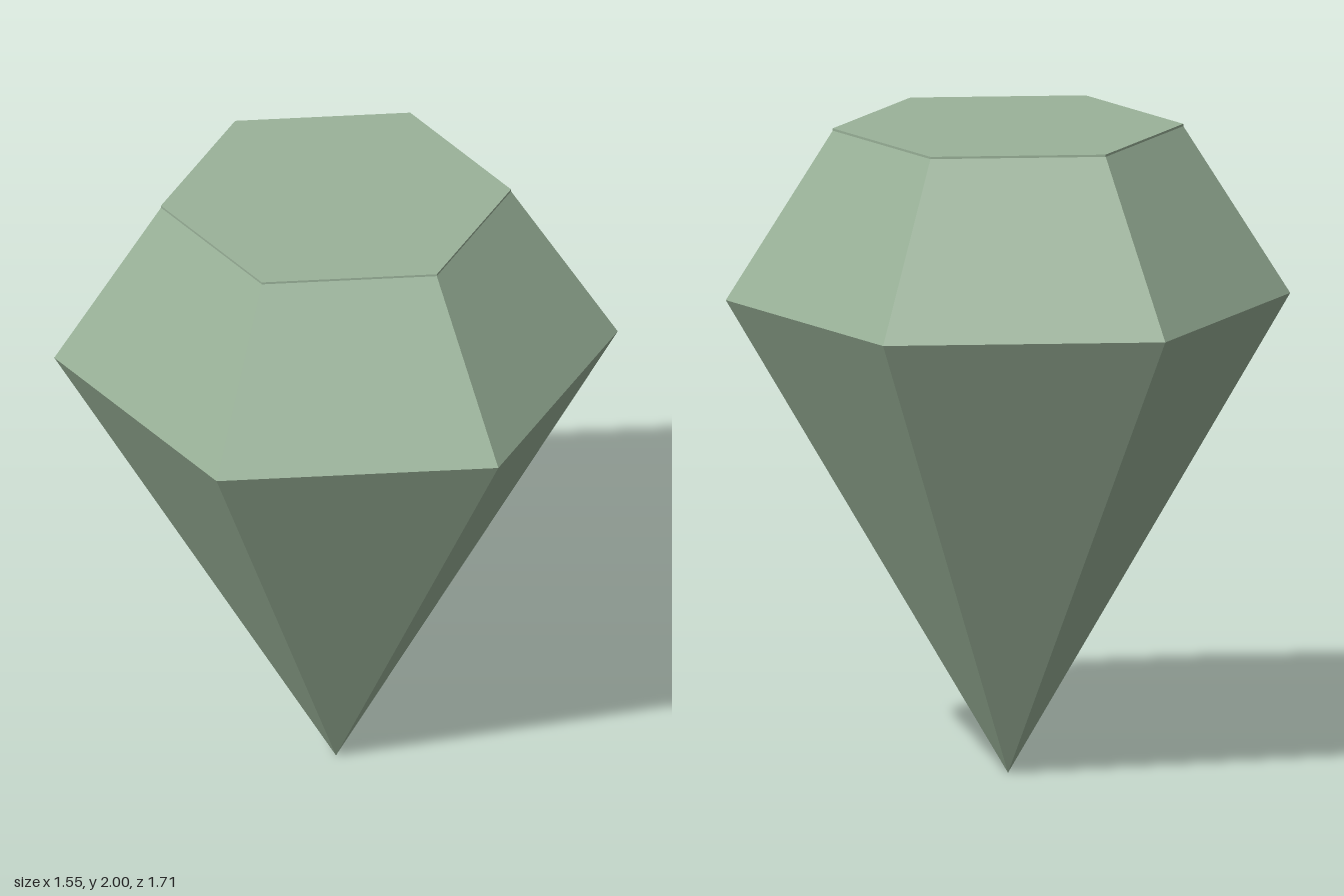
import * as THREE from 'three';

const SIDES = 6;
const TURN = THREE.MathUtils.degToRad(4.9);
const GIRDLE_RADIUS = 0.858;
const TABLE_RADIUS = 0.533;

export function createModel() {
  const gem = new THREE.Group();
  gem.name = 'gem';
  const paleGreen = new THREE.MeshStandardMaterial({ color: 0x9ab299, flatShading: true });
  paleGreen.name = 'paleGreen';

  // One faceted ring of the gem, from a bottom-to-top profile of [radius, height]
  function addFacets(name, profile) {
    const points = profile.map(([r, y]) => new THREE.Vector2(r, y));
    const geometry = new THREE.LatheGeometry(points, SIDES, TURN).toNonIndexed();
    geometry.computeVertexNormals();
    const mesh = new THREE.Mesh(geometry, paleGreen);
    mesh.name = name;
    gem.add(mesh);
  }

  // Pointed lower half
  addFacets('pavilion', [[0, 0], [GIRDLE_RADIUS, 1.473]]);
  // Sloping upper facets
  addFacets('crown', [[GIRDLE_RADIUS, 1.473], [TABLE_RADIUS, 1.993]]);
  // Flat top with a very thin upright rim
  addFacets('table', [[TABLE_RADIUS, 1.993], [TABLE_RADIUS, 2], [0, 2]]);

  return gem;
}
